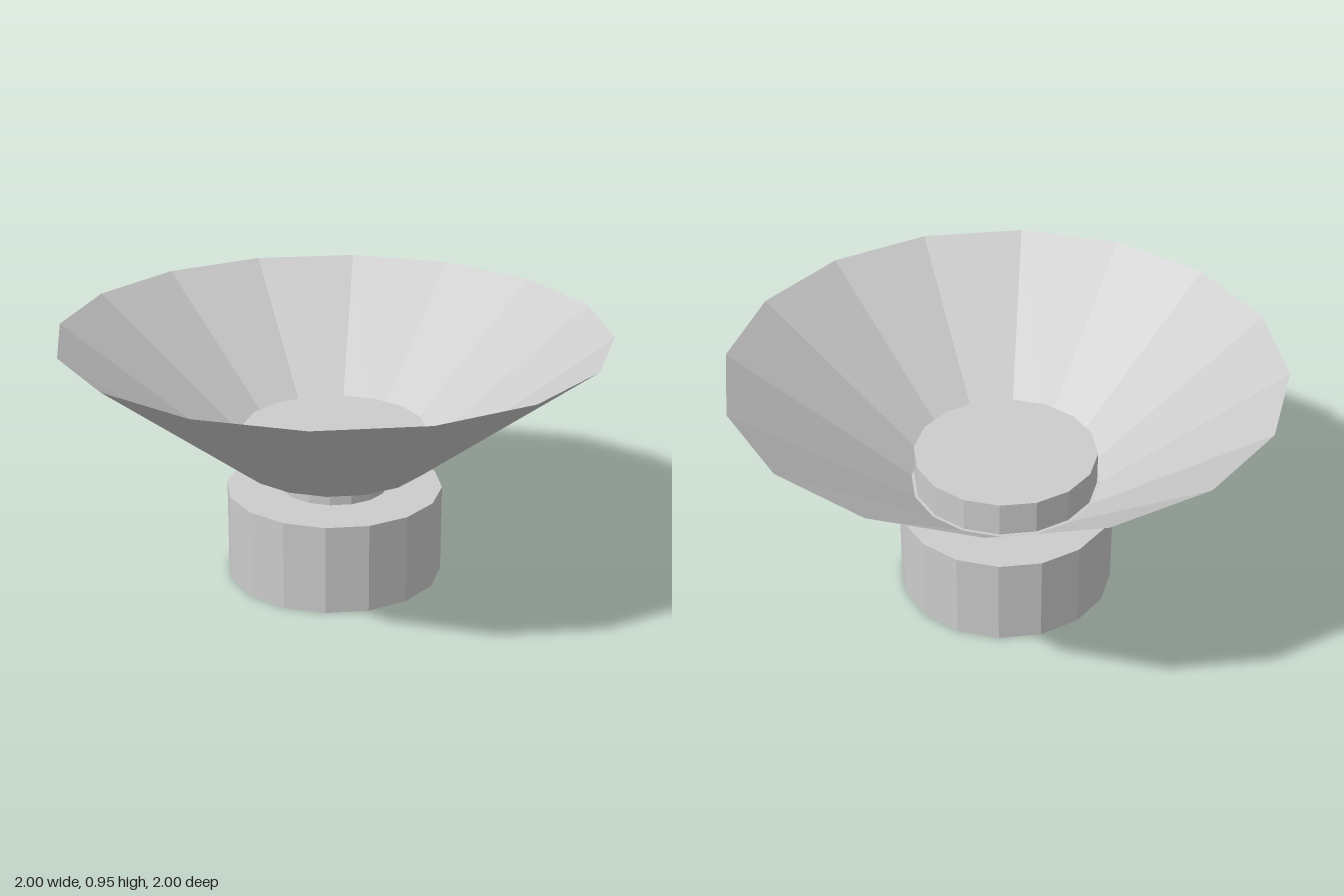
import * as THREE from 'three';

const SIDES = 16;

export function createModel() {
  const model = new THREE.Group();
  model.name = 'dishOnPedestal';

  const grey = new THREE.MeshStandardMaterial({ color: 0xcccccc, flatShading: true, side: THREE.DoubleSide });
  grey.name = 'grey';

  // A 16-sided drum with a flat side towards the front; radii are measured to the flats.
  function drum(name, bottomRadius, topRadius, bottom, top, open = false) {
    const k = 1 / Math.cos(Math.PI / SIDES);
    const geometry = new THREE.CylinderGeometry(topRadius * k, bottomRadius * k, top - bottom, SIDES, 1, open);
    geometry.rotateY(Math.PI / SIDES);
    geometry.translate(0, (bottom + top) / 2, 0);
    const mesh = new THREE.Mesh(geometry, grey);
    mesh.name = name;
    model.add(mesh);
  }

  drum('base', 0.4, 0.4, 0, 0.34);
  drum('neck', 0.2, 0.2, 0.34, 0.44);
  drum('hub', 0.338, 0.338, 0.44, 0.57);
  // Thin flared dish, open at both ends
  drum('dish', 0.35, 1, 0.44, 0.95, true);

  return model;
}
